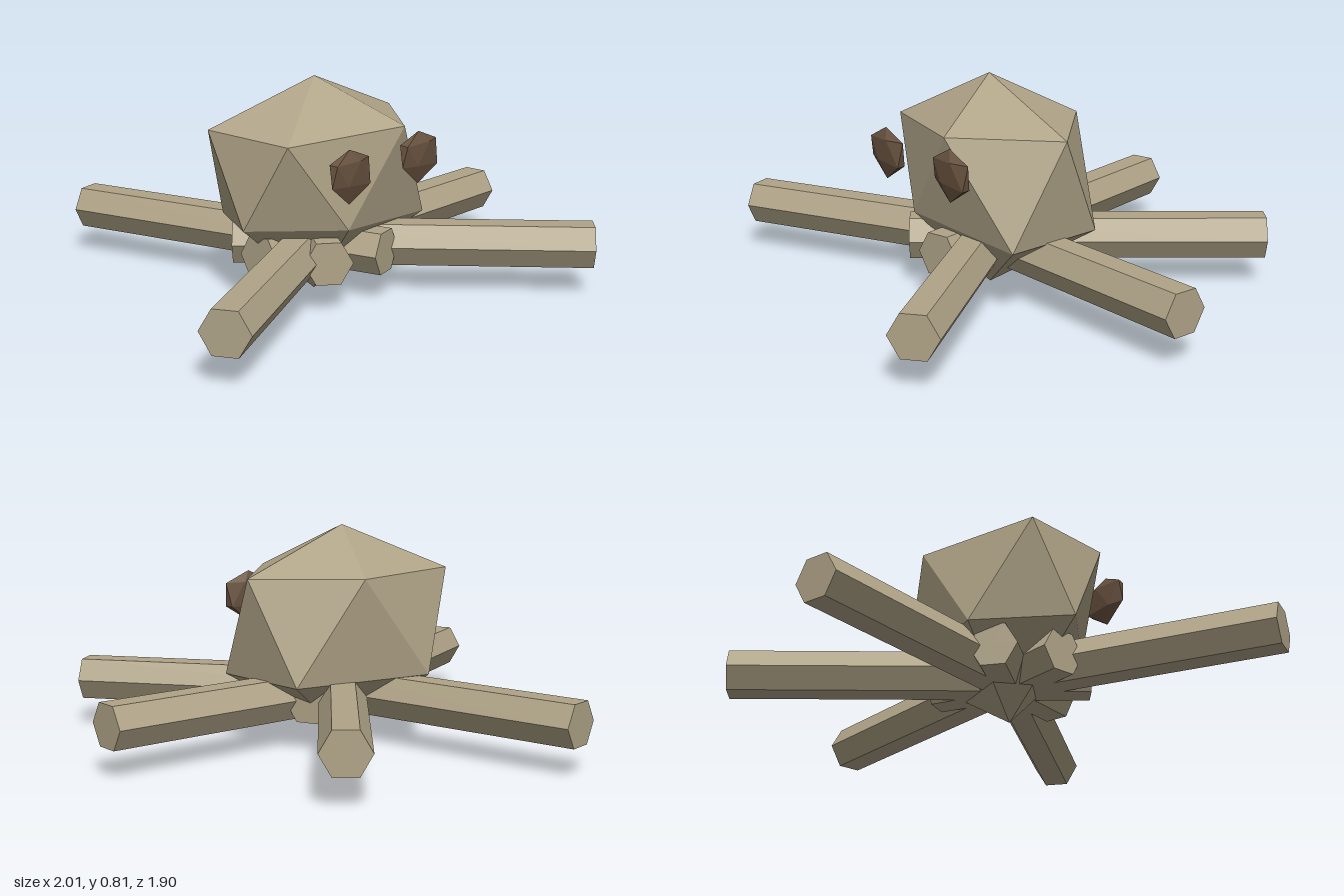
import * as THREE from 'three';

const CX = -0.035, CZ = 0.085; // axis of the body

// Uneven twenty-sided solid: two poles and two staggered rings of five
function roughSolid() {
  const top = [CX, 0.812, CZ], bottom = [CX, 0, CZ];
  const upper = [[0.405, 0.64, 0.085], [0.105, 0.645, 0.397], [-0.367, 0.625, 0.255],
    [-0.395, 0.64, -0.105], [0.105, 0.645, -0.22]];
  const lower = [[0.36, 0.257, 0.292], [-0.15, 0.3, 0.35], [-0.41, 0.3, 0.08],
    [-0.19, 0.265, -0.237], [0.337, 0.258, -0.115]];
  const tris = [];
  for (let i = 0; i < 5; i++) {
    const j = (i + 1) % 5;
    tris.push(top, upper[j], upper[i]);
    tris.push(upper[i], upper[j], lower[i]);
    tris.push(lower[i], upper[j], lower[j]);
    tris.push(bottom, lower[i], lower[j]);
  }
  const geo = new THREE.BufferGeometry();
  geo.setAttribute('position', new THREE.Float32BufferAttribute(tris.flat(), 3));
  geo.computeVertexNormals();
  return geo;
}

export function createModel() {
  const group = new THREE.Group();
  const skin = new THREE.MeshStandardMaterial({ color: 0xb0a488, flatShading: true });
  skin.name = 'tan skin';
  const dark = new THREE.MeshStandardMaterial({ color: 0x68523f, flatShading: true });
  dark.name = 'brown eye';

  const add = (geo, mat, name) => {
    const mesh = new THREE.Mesh(geo, mat);
    mesh.name = name;
    group.add(mesh);
    return mesh;
  };

  // Body
  add(roughSolid(), skin, 'body');

  // Eyes: small flattened copies of the body solid
  const eyeGeo = roughSolid().translate(-CX, -0.406, -CZ).scale(0.24, 0.242, 0.084);
  add(eyeGeo, dark, 'rightEye').position.set(-0.227, 0.522, 0.415);
  add(eyeGeo, dark, 'leftEye').position.set(0.163, 0.522, 0.415);

  // Legs: hexagonal bars that pass through the axis and stick out a little behind it
  const inner = -0.3, outer = 1.037;
  const legGeo = new THREE.CylinderGeometry(0.09, 0.09, outer - inner, 6)
    .rotateZ(-Math.PI / 2)
    .translate((inner + outer) / 2, 0, 0);
  for (const step of [0, 1, 3, 5, 6]) {
    const leg = add(legGeo, skin, 'leg' + step);
    leg.position.set(CX, 0.185, CZ);
    leg.rotation.y = -step * Math.PI * 2 / 7;
  }
  return group;
}
